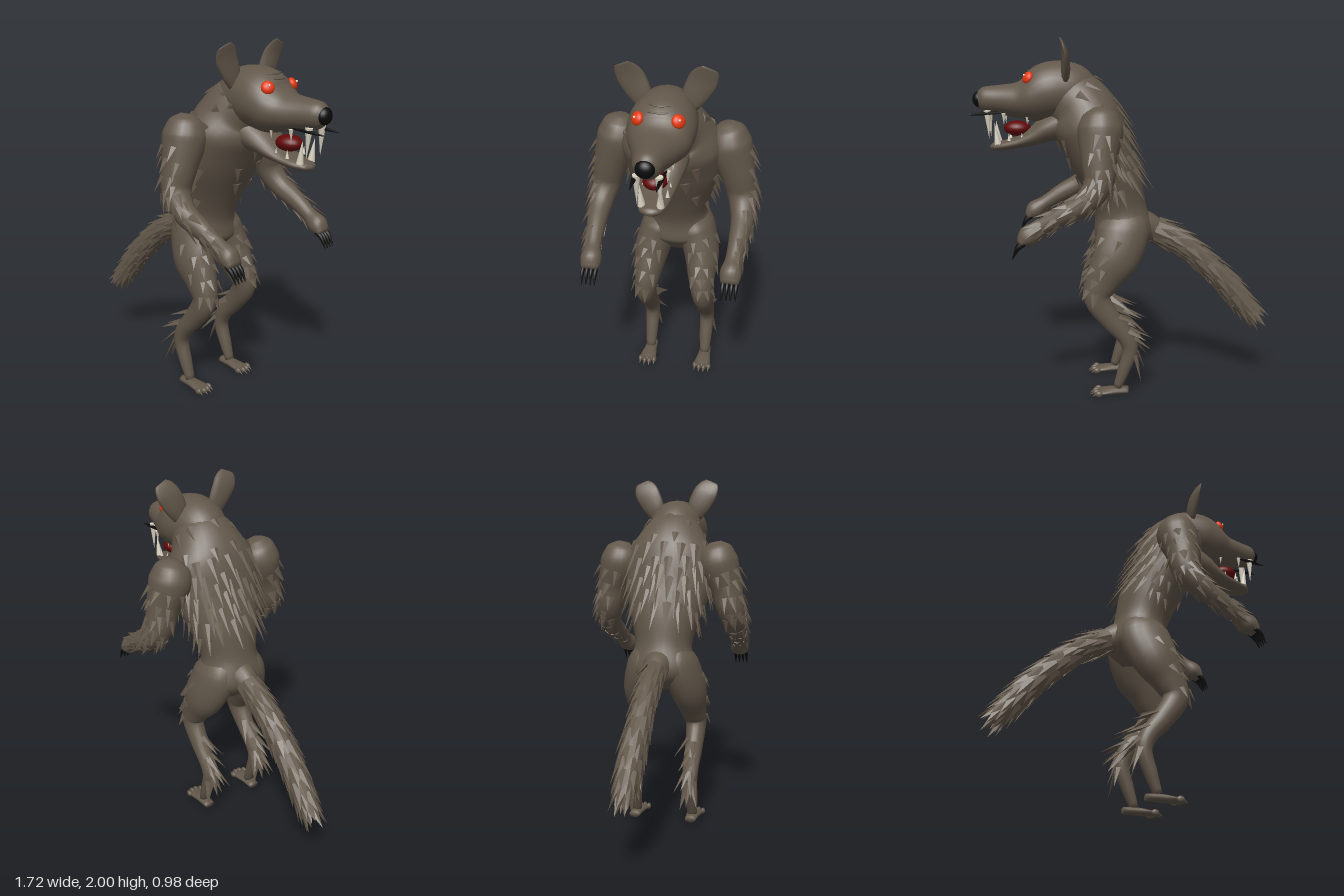
import * as THREE from 'three';
import { mergeGeometries } from 'three/addons/utils/BufferGeometryUtils.js';

const mat = (name, color) => Object.assign(new THREE.MeshStandardMaterial({ color }), { name });
const V = (x, y, z) => new THREE.Vector3(x, y, z);

export function createModel() {
  const model = new THREE.Group();
  const furMat = mat('brown fur', 0x62574a);
  const black = mat('black claw', 0x0b0b0b);
  const ivory = mat('ivory tooth', 0xd9d2c0);
  const red = mat('red mouth', 0x640808);
  const eyeMat = mat('orange red eye', 0xe8380c);
  const glint = mat('eye glint', 0xf2e6d8);

  let seed = 7;
  const rnd = () => (seed = (seed * 16807) % 2147483647) / 2147483647;

  const add = (name, geo, material) => {
    const m = new THREE.Mesh(geo, material);
    m.name = name;
    model.add(m);
    return m;
  };

  // Smooth limb through sections [x, y, z, radius in profile, radius sideways]
  function loft(pts, rings = 32, sides = 20) {
    const path = new THREE.CatmullRomCurve3(pts.map(p => V(p[0], p[1], p[2])));
    const radii = new THREE.CatmullRomCurve3(pts.map(p => V(p[3], p[4], 0)));
    const at = (t, ang) => {
      const c = path.getPoint(t), r = radii.getPoint(t), T = path.getTangent(t);
      const S = V(0, 0, 1).addScaledVector(T, -T.z).normalize();
      const U = T.clone().cross(S);
      const ca = Math.cos(ang), sa = Math.sin(ang);
      const pos = c.clone().addScaledVector(U, r.x * ca).addScaledVector(S, r.y * sa);
      const normal = U.multiplyScalar(ca * r.y).addScaledVector(S, sa * r.x).normalize();
      return { c, T, pos, normal };
    };
    const v = [], idx = [];
    for (let i = 0; i <= rings; i++)
      for (let j = 0; j < sides; j++) v.push(...at(i / rings, j / sides * Math.PI * 2).pos.toArray());
    const c0 = v.length / 3;
    v.push(...at(0, 0).c.toArray(), ...at(1, 0).c.toArray());
    for (let j = 0; j < sides; j++) {
      const k = (j + 1) % sides, e = rings * sides;
      for (let i = 0; i < rings; i++) {
        const a = i * sides + j, b = i * sides + k;
        idx.push(a, a + sides, b, b, a + sides, b + sides);
      }
      idx.push(c0, j, k, c0 + 1, e + k, e + j);
    }
    const geo = new THREE.BufferGeometry();
    geo.setAttribute('position', new THREE.Float32BufferAttribute(v, 3));
    geo.setIndex(idx);
    geo.computeVertexNormals();
    return { geo, at };
  }

  // Flattened faceted tuft lying along dir
  function tuft(pos, dir, normal, len, w) {
    const g = new THREE.ConeGeometry(w, len, 4).toNonIndexed();
    g.translate(0, len * 0.42, 0).scale(1, 1, 0.4);
    const y = dir.clone().normalize(), x = y.clone().cross(normal).normalize();
    g.applyMatrix4(new THREE.Matrix4().makeBasis(x, y, x.clone().cross(y)).setPosition(pos));
    g.computeVertexNormals();
    return g;
  }

  // Staggered rows of tufts over a patch of a limb; flow +1 follows its path, -1 runs back
  function fur(name, body, o) {
    const list = [], { t, a, rows, cols, len, w, lift = 0.3, flow = 1, side = 1 } = o;
    for (let i = 0; i < rows; i++) for (let j = 0; j < cols; j++) {
      const u = t[0] + (t[1] - t[0]) * (i + (rnd() - 0.5) * 0.4) / (rows - 1);
      const f = (j + (i % 2) * 0.5 + (rnd() - 0.5) * 0.3) / cols;
      const p = body.at(Math.min(1, Math.max(0, u)), side * (a[0] + (a[1] - a[0]) * f));
      const dir = p.T.clone().multiplyScalar(flow).addScaledVector(p.normal, lift);
      list.push(tuft(p.pos, dir, p.normal, len * (0.8 + rnd() * 0.4), w * (0.85 + rnd() * 0.3)));
    }
    add(name, mergeGeometries(list), furMat);
  }

  // Cone from base point to tip
  function spike(name, a, b, r, material) {
    const d = b.clone().sub(a), m = add(name, new THREE.ConeGeometry(r, d.length(), 10), material);
    m.position.copy(a).addScaledVector(d, 0.5);
    m.quaternion.setFromUnitVectors(V(0, 1, 0), d.normalize());
  }
  function ball(name, p, r, material) {
    const m = add(name, new THREE.SphereGeometry(1, 20, 14), material);
    m.position.set(...p);
    m.scale.set(...r);
    return m;
  }

  // Torso and neck
  const torso = loft([[0, 0.81, 0, 0.08, 0.1], [0, 0.92, 0, 0.168, 0.205], [0.02, 1.05, 0, 0.15, 0.165],
    [0.06, 1.2, 0, 0.165, 0.2], [0.135, 1.38, 0, 0.182, 0.255], [0.195, 1.53, 0, 0.198, 0.265],
    [0.26, 1.64, 0, 0.185, 0.2], [0.34, 1.7, 0, 0.15, 0.15]], 40, 28);
  add('torso', torso.geo, furMat);
  const PI = Math.PI;
  fur('backMane', torso, { t: [0.45, 0.72], a: [PI - 1.3, PI + 1.3], rows: 6, cols: 7, len: 0.17, w: 0.025, flow: -1, lift: 0.24 });
  fur('neckMane', torso, { t: [0.78, 0.98], a: [PI - 1.7, PI + 1.7], rows: 3, cols: 5, len: 0.08, w: 0.024, flow: -1, lift: 0.3 });
  fur('chestFur', torso, { t: [0.5, 0.7], a: [-0.6, 0.6], rows: 3, cols: 2, len: 0.085, w: 0.028, flow: -1, lift: 0.2 });
  for (const s of [1, -1])
    fur('flankFur', torso, { t: [0.4, 0.56], a: [1.2, 2], rows: 3, cols: 3, len: 0.1, w: 0.02, flow: -1, side: s });

  // Head with muzzle, and open lower jaw
  const head = loft([[0.2, 1.66, 0, 0.12, 0.12], [0.3, 1.71, 0, 0.16, 0.155], [0.4, 1.715, 0, 0.16, 0.168],
    [0.5, 1.678, 0, 0.132, 0.158], [0.58, 1.667, 0, 0.098, 0.122], [0.68, 1.67, 0, 0.08, 0.088],
    [0.77, 1.672, 0, 0.066, 0.064], [0.81, 1.67, 0, 0.03, 0.03]], 40, 28);
  add('head', head.geo, furMat);
  add('lowerJaw', loft([[0.28, 1.56, 0, 0.12, 0.13], [0.42, 1.51, 0, 0.075, 0.12], [0.5, 1.468, 0, 0.052, 0.102],
    [0.58, 1.438, 0, 0.034, 0.086], [0.66, 1.42, 0, 0.028, 0.074], [0.72, 1.412, 0, 0.022, 0.05],
    [0.74, 1.41, 0, 0.008, 0.015]]).geo, furMat);
  ball('tongue', [0.588, 1.513, 0], [0.074, 0.042, 0.062], red);
  ball('nose', [0.793, 1.672, 0], [0.035, 0.044, 0.046], black);

  // Brow wrinkles resting on the forehead
  for (const t of [0.375, 0.335]) {
    const arc = [-0.3, -0.15, 0, 0.15, 0.3].map(a => head.at(t - a * a * 0.15, PI + a).pos);
    add('browWrinkle', new THREE.TubeGeometry(new THREE.CatmullRomCurve3(arc), 16, 0.005, 6), furMat);
  }

  for (const s of [1, -1]) {
    // Eyes set on the surface of the head
    const socket = head.at(0.395, s * (PI - 0.64));
    const eye = ball('eye', socket.pos.toArray(), [0.034, 0.034, 0.022], eyeMat);
    eye.lookAt(socket.pos.clone().add(V(0.75, 0.45, s * 0.6)));
    ball('eyeGlint', socket.pos.clone().add(V(0.019, 0.014, s * 0.01)).toArray(), [0.006, 0.006, 0.006], glint);

    // Ears and lips
    add('ear', loft([[0.318, 1.785, s * 0.11, 0.022, 0.045], [0.316, 1.85, s * 0.14, 0.024, 0.066],
      [0.32, 1.92, s * 0.178, 0.018, 0.072], [0.332, 1.965, s * 0.202, 0.01, 0.058],
      [0.34, 1.985, s * 0.212, 0.004, 0.038]], 14, 12).geo, furMat);
    add('lip', loft([[0.66, 1.603, s * 0.068, 0.004, 0.005], [0.75, 1.598, s * 0.062, 0.009, 0.012],
      [0.84, 1.59, s * 0.06, 0.002, 0.002]], 12, 8).geo, black);

    // Teeth
    spike('upperFang', V(0.745, 1.615, s * 0.052), V(0.738, 1.46, s * 0.056), 0.02, ivory);
    spike('lowerFang', V(0.693, 1.43, s * 0.045), V(0.708, 1.55, s * 0.05), 0.02, ivory);
    for (const x of [0.53, 0.655])
      spike('sideTooth', V(x, 1.6, s * 0.075), V(x, 1.535, s * 0.072), 0.012, ivory);
    for (const x of [0.56, 0.63])
      spike('lowerTooth', V(x, 1.45, s * 0.066), V(x, 1.495, s * 0.068), 0.01, ivory);

    // Arm, hand and claws
    const arm = loft([[0.14, 1.638, s * 0.272, 0.035, 0.035], [0.14, 1.6, s * 0.28, 0.092, 0.092],
      [0.14, 1.52, s * 0.292, 0.12, 0.118], [0.15, 1.38, s * 0.337, 0.095, 0.095], [0.155, 1.25, s * 0.368, 0.078, 0.08],
      [0.23, 1.155, s * 0.385, 0.063, 0.064], [0.36, 1.085, s * 0.38, 0.052, 0.05],
      [0.46, 1.025, s * 0.37, 0.042, 0.042], [0.52, 0.985, s * 0.366, 0.055, 0.056], [0.565, 0.945, s * 0.366, 0.025, 0.045]], 40, 20);
    add('arm', arm.geo, furMat);
    fur('upperArmFur', arm, { t: [0.27, 0.44], a: [-0.2, 2.5], rows: 4, cols: 4, len: 0.085, w: 0.024, lift: 0.3, side: s });
    fur('forearmFur', arm, { t: [0.48, 0.76], a: [-0.4, 3.1], rows: 5, cols: 5, len: 0.085, w: 0.024, lift: 0.28, side: s });
    for (let i = 0; i < 4; i++) {
      const z = s * (0.332 + i * 0.023);
      add('handClaw', loft([[0.54, 0.95, z, 0.014, 0.012], [0.575, 0.925, z, 0.013, 0.01],
        [0.605, 0.868, z, 0.002, 0.002]], 10, 8).geo, black);
    }

    // Hind leg
    const leg = loft([[0.015, 1.06, s * 0.07, 0.1, 0.06], [0.01, 0.94, s * 0.1, 0.148, 0.108], [0.055, 0.8, s * 0.142, 0.135, 0.102],
      [0.125, 0.68, s * 0.155, 0.1, 0.08], [0.162, 0.58, s * 0.165, 0.075, 0.062], [0.085, 0.45, s * 0.17, 0.06, 0.052],
      [0, 0.345, s * 0.17, 0.05, 0.047], [-0.025, 0.27, s * 0.17, 0.044, 0.043], [0.01, 0.15, s * 0.17, 0.036, 0.038],
      [0.048, 0.045, s * 0.17, 0.024, 0.028]], 40, 20);
    add('leg', leg.geo, furMat);
    fur('thighFur', leg, { t: [0.18, 0.42], a: [PI - 1.4, PI + 1.1], rows: 5, cols: 3, len: 0.07, w: 0.028, lift: 0.25, side: s });
    fur('hockFur', leg, { t: [0.56, 0.8], a: [-0.8, 0.8], rows: 4, cols: 3, len: 0.14, w: 0.026, lift: 0.55, side: s });

    // Foot with toes and claws
    add('foot', loft([[-0.015, 0.025, s * 0.17, 0.019, 0.032], [0.06, 0.026, s * 0.17, 0.021, 0.038],
      [0.13, 0.022, s * 0.17, 0.016, 0.048], [0.165, 0.02, s * 0.17, 0.01, 0.045]], 12, 14).geo, furMat);
    for (let i = 0; i < 4; i++) {
      const z = s * (0.128 + i * 0.028), x = i % 3 ? 0.168 : 0.155;
      ball('toe', [x, 0.02, z], [0.022, 0.018, 0.014], furMat);
      spike('toeClaw', V(x + 0.014, 0.02, z), V(x + 0.04, 0.006, z), 0.007, furMat);
    }
  }

  // Bushy tail
  const tail = loft([[-0.02, 0.96, 0, 0.12, 0.12], [-0.13, 0.945, 0, 0.09, 0.085], [-0.21, 0.915, 0, 0.062, 0.056],
    [-0.32, 0.855, 0, 0.058, 0.055], [-0.46, 0.745, 0, 0.06, 0.057], [-0.6, 0.605, 0, 0.062, 0.058],
    [-0.7, 0.485, 0, 0.055, 0.052], [-0.75, 0.43, 0, 0.03, 0.03]], 30, 16);
  add('tail', tail.geo, furMat);
  fur('tailFur', tail, { t: [0.25, 0.96], a: [0, PI * 2], rows: 13, cols: 8, len: 0.13, w: 0.036, lift: 0.2 });

  return model;
}
